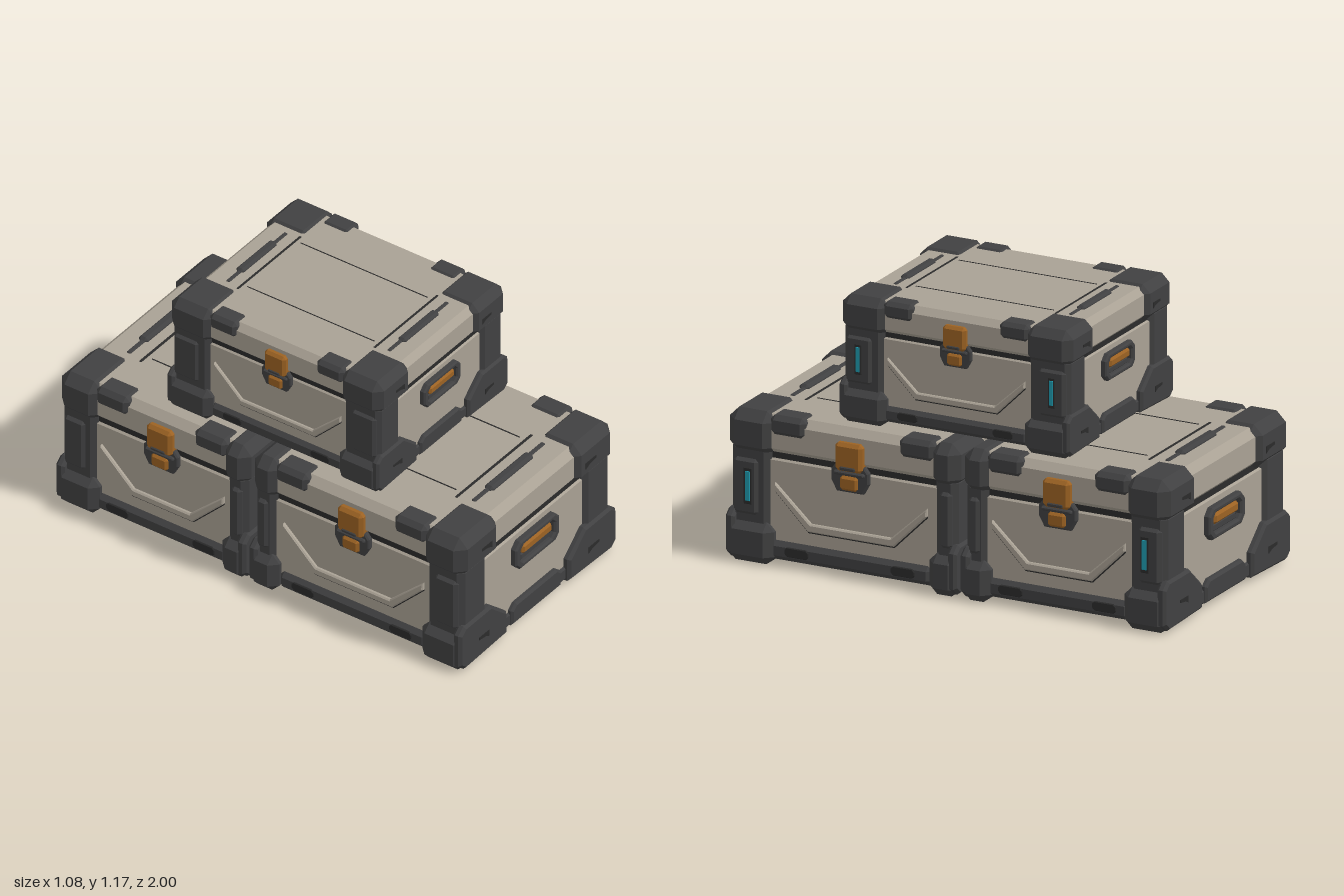
import * as THREE from 'three';
import { ConvexGeometry } from 'three/addons/geometries/ConvexGeometry.js';

const mat = (name, color) => {
  const m = new THREE.MeshStandardMaterial({ color });
  m.name = name;
  return m;
};
const SHELL = mat('warm grey shell', 0xa9a194);
const GUARD = mat('charcoal guard', 0x404041);
const GROOVE = mat('dark groove', 0x2b2b2b);
const ORANGE = mat('burnt orange', 0x9c6223);
const CYAN = mat('cyan light', 0x1f9bb0);

function add(parent, name, geometry, material) {
  const mesh = new THREE.Mesh(geometry, material);
  mesh.name = name;
  parent.add(mesh);
  return mesh;
}

// Box between two corners (in any order) with all edges chamfered by c
function box(parent, name, material, xa, xb, ya, yb, za, zb, c = 0.01) {
  const half = [Math.abs(xb - xa) / 2, Math.abs(yb - ya) / 2, Math.abs(zb - za) / 2];
  const k = Math.min(c, ...half.map((h) => h * 0.8));
  const points = [];
  for (const sx of [-1, 1]) for (const sy of [-1, 1]) for (const sz of [-1, 1])
    for (let axis = 0; axis < 3; axis++) {
      const p = half.map((h, i) => (i === axis ? h : h - k));
      points.push(new THREE.Vector3(sx * p[0], sy * p[1], sz * p[2]));
    }
  const mesh = add(parent, name, new ConvexGeometry(points), material);
  mesh.position.set((xa + xb) / 2, (ya + yb) / 2, (za + zb) / 2);
  return mesh;
}

const toPoints = (list) => list.map(([x, y]) => new THREE.Vector2(x, y));

// Extruded outline with a small bevel, rising from z = 0 to z = depth
function plate(parent, name, material, outline, depth, bevel = 0.006, hole) {
  const shape = new THREE.Shape(toPoints(outline));
  if (hole) shape.holes.push(new THREE.Path(toPoints(hole)));
  const geometry = new THREE.ExtrudeGeometry(shape, {
    depth: depth - bevel, bevelEnabled: bevel > 0, bevelThickness: bevel,
    bevelSize: bevel, bevelOffset: -bevel, bevelSegments: 1,
  });
  return add(parent, name, geometry, material);
}

// Rectangle with cut corners
const octagon = (w, h, c) => [
  [-w + c, -h], [w - c, -h], [w, -h + c], [w, h - c],
  [w - c, h], [-w + c, h], [-w, h - c], [-w, -h + c],
];

// Carrying handle set into the end of a crate
function endHandle(parent) {
  const g = new THREE.Group();
  g.name = 'endHandle';
  plate(g, 'handleFrame', GUARD, octagon(0.15, 0.068, 0.03), 0.03, 0.008, octagon(0.115, 0.042, 0.018));
  plate(g, 'handleRecess', GROOVE, octagon(0.125, 0.052, 0.02), 0.006, 0);
  box(g, 'handleGrip', ORANGE, -0.1, 0.1, -0.008, 0.036, 0.004, 0.028, 0.012);
  box(g, 'handleShelf', GUARD, -0.1, 0.1, -0.042, -0.012, 0.002, 0.014, 0.005);
  parent.add(g);
  return g;
}

// Latch, trapezoid trim and base slots; local x runs along the crate, local z outward
function sideDetails(parent, halfPanel) {
  const g = new THREE.Group();
  g.name = 'sideDetails';
  plate(g, 'latchHousing', GUARD, [[-0.085, 0.41], [-0.06, 0.365], [0.06, 0.365], [0.085, 0.41],
    [0.085, 0.455], [0.065, 0.48], [-0.065, 0.48], [-0.085, 0.455]], 0.022);
  box(g, 'latchClasp', ORANGE, -0.062, 0.062, 0.455, 0.575, -0.02, 0.04, 0.014);
  box(g, 'latchClaspInset', GUARD, -0.035, 0.035, 0.462, 0.478, 0.03, 0.044, 0.004);
  box(g, 'latchButton', ORANGE, -0.04, 0.04, 0.375, 0.435, 0.01, 0.036, 0.01);
  box(g, 'latchPin', GUARD, -0.07, 0.07, 0.437, 0.455, 0.005, 0.034, 0.006);

  // A band that drops diagonally, runs along the bottom and climbs again
  const a = halfPanel - 0.02, b = halfPanel - 0.17;
  const band = (y, t) => [[-a, y + 0.15], [-b, y], [b, y], [a, y + 0.15], [a, y + 0.15 + t],
    [b - t * 0.4, y + t], [-b + t * 0.4, y + t], [-a, y + 0.15 + t]];
  plate(g, 'panelTrim', SHELL, band(0.165, 0.034), 0.016, 0.006);
  plate(g, 'trimGroove', GROOVE, band(0.158, 0.008), 0.004, 0);

  // Base rail with two slots
  box(g, 'sideRail', GUARD, -halfPanel, halfPanel, 0.025, 0.105, -0.04, 0.02, 0.02);
  for (const s of [-1, 1]) {
    const slot = plate(g, 'railSlot', GROOVE, octagon(0.055, 0.02, 0.012), 0.01, 0.003);
    slot.position.set(s * halfPanel * 0.66, 0.068, 0.014);
  }
  parent.add(g);
  return g;
}

// Crate from z0 to z1; w0 and w1 are the guard widths at those ends
function crate({ name, s, y, z0: za, z1: zb, w0, w1, latchZ, handles }) {
  const g = new THREE.Group();
  g.name = name;
  g.scale.setScalar(s);
  g.position.y = y;
  const z0 = za / s, z1 = zb / s;

  // Shell, lid seam and base
  box(g, 'body', SHELL, -0.49, 0.49, 0.07, 0.452, z0 + 0.03, z1 - 0.03, 0.012);
  box(g, 'lidSeam', GROOVE, -0.482, 0.482, 0.43, 0.49, z0 + 0.038, z1 - 0.038, 0.005);
  box(g, 'lid', SHELL, -0.5, 0.5, 0.46, 0.628, z0 + 0.022, z1 - 0.022, 0.032);
  box(g, 'base', GUARD, -0.485, 0.485, 0.015, 0.1, z0 + 0.04, z1 - 0.04, 0.02);
  for (const i of [-1, 0, 1])
    box(g, 'bottomPanel', GUARD, i * 0.26 - 0.12, i * 0.26 + 0.12, 0.008, 0.03, z0 + 0.2, z1 - 0.2, 0.006);

  for (const e of [-1, 1]) {
    const end = e > 0 ? z1 : z0;
    const w = (e > 0 ? w1 : w0) / s;
    const at = (d) => end - e * d; // distance inward from this end

    // Corner guards
    for (const sx of [-1, 1]) {
      box(g, 'footGuard', GUARD, sx * 0.32, sx * 0.54, 0, 0.175, end, at(w + 0.02), 0.035);
      box(g, 'columnGuard', GUARD, sx * 0.33, sx * 0.51, 0.12, 0.5, at(0.012), at(w), 0.025);
      box(g, 'columnRib', GUARD, sx * 0.4, sx * 0.523, 0.2, 0.44, at(0.03), at(w * 0.75), 0.015);
      box(g, 'lidGuard', GUARD, sx * 0.25, sx * 0.528, 0.45, 0.64, end, at(w + 0.02), 0.042);
      box(g, 'lidGuardArm', GUARD, sx * 0.4, sx * 0.515, 0.55, 0.637, at(w), at(w + 0.16), 0.02);
    }

    // End face: foot plates, rail and grip marks
    const face = new THREE.Group();
    face.name = 'endFace';
    face.position.z = at(0.03);
    if (e < 0) face.rotation.y = Math.PI;
    g.add(face);
    for (const sx of [-1, 1]) {
      plate(face, 'footPlate', GUARD, [[0.21, 0.02], [0.5, 0.01], [0.535, 0.04], [0.535, 0.19],
        [0.5, 0.22], [0.32, 0.22], [0.21, 0.125]].map(([x, v]) => [sx * x, v]), 0.03, 0.012);
      for (const v of [0.1, 0.53]) {
        const mark = plate(face, 'gripMark', GROOVE, [[0.34, 0.0], [0.365, 0.012], [0.41, 0.018],
          [0.41, 0.03], [0.34, 0.03]].map(([x, u]) => [sx * (x - (v > 0.3 ? 0.02 : 0)), u + v - 0.015]), 0.004, 0);
        mark.position.z = 0.028;
      }
    }
    plate(face, 'endRail', GUARD, [[-0.17, 0.025], [0.17, 0.025], [0.17, 0.095], [0.14, 0.12],
      [-0.14, 0.12], [-0.17, 0.095]], 0.022, 0.01);
    box(face, 'endSill', GUARD, -0.3, 0.3, 0.02, 0.085, -0.04, 0.01, 0.01);
    if (handles.includes(e)) endHandle(face).position.set(0, 0.347, -0.002);

    // Lid top: grip bar and cross groove
    box(g, 'lidBar', GUARD, -0.145, 0.145, 0.61, 0.645, at(0.125), at(0.17), 0.012);
    for (const sx of [-1, 1])
      box(g, 'lidBarMount', GUARD, sx * 0.14, sx * 0.24, 0.61, 0.634, at(0.14), at(0.16), 0.004);
    box(g, 'lidCrossGroove', GROOVE, -0.26, 0.26, 0.62, 0.63, at(0.215), at(0.228), 0.002);
  }

  // Long lid grooves
  for (const sx of [-1, 1])
    box(g, 'lidGroove', GROOVE, sx * 0.214, sx * 0.22, 0.62, 0.63, z0 + 0.25, z1 - 0.25, 0.001);

  // Long sides
  const halfPanel = Math.min(z1 - w1 / s - latchZ / s, latchZ / s - z0 - w0 / s);
  for (const sx of [-1, 1]) {
    const side = sideDetails(g, halfPanel);
    side.rotation.y = sx * Math.PI / 2;
    side.position.set(sx * 0.49, 0, latchZ / s);
  }

  // Indicator lights on the left side
  for (const e of handles) {
    const z = (e > 0 ? z1 : z0) - e * 0.1;
    box(g, 'lightRecess', GROOVE, 0.5, 0.526, 0.245, 0.405, z - 0.022, z + 0.022, 0.006);
    box(g, 'indicatorLight', CYAN, 0.522, 0.529, 0.262, 0.388, z - 0.011, z + 0.011, 0.002);
  }
  return g;
}

export function createModel() {
  const model = new THREE.Group();
  model.name = 'crateStack';
  model.add(
    crate({ name: 'frontCrate', s: 1, y: 0, z0: -0.05, z1: 1, w0: 0.115, w1: 0.19, latchZ: 0.445, handles: [1] }),
    crate({ name: 'backCrate', s: 1, y: 0, z0: -1, z1: -0.065, w0: 0.18, w1: 0.11, latchZ: -0.497, handles: [-1] }),
    crate({ name: 'topCrate', s: 0.835, y: 0.635, z0: -0.515, z1: 0.53, w0: 0.195, w1: 0.19, latchZ: 0.012, handles: [-1, 1] }),
  );
  return model;
}
